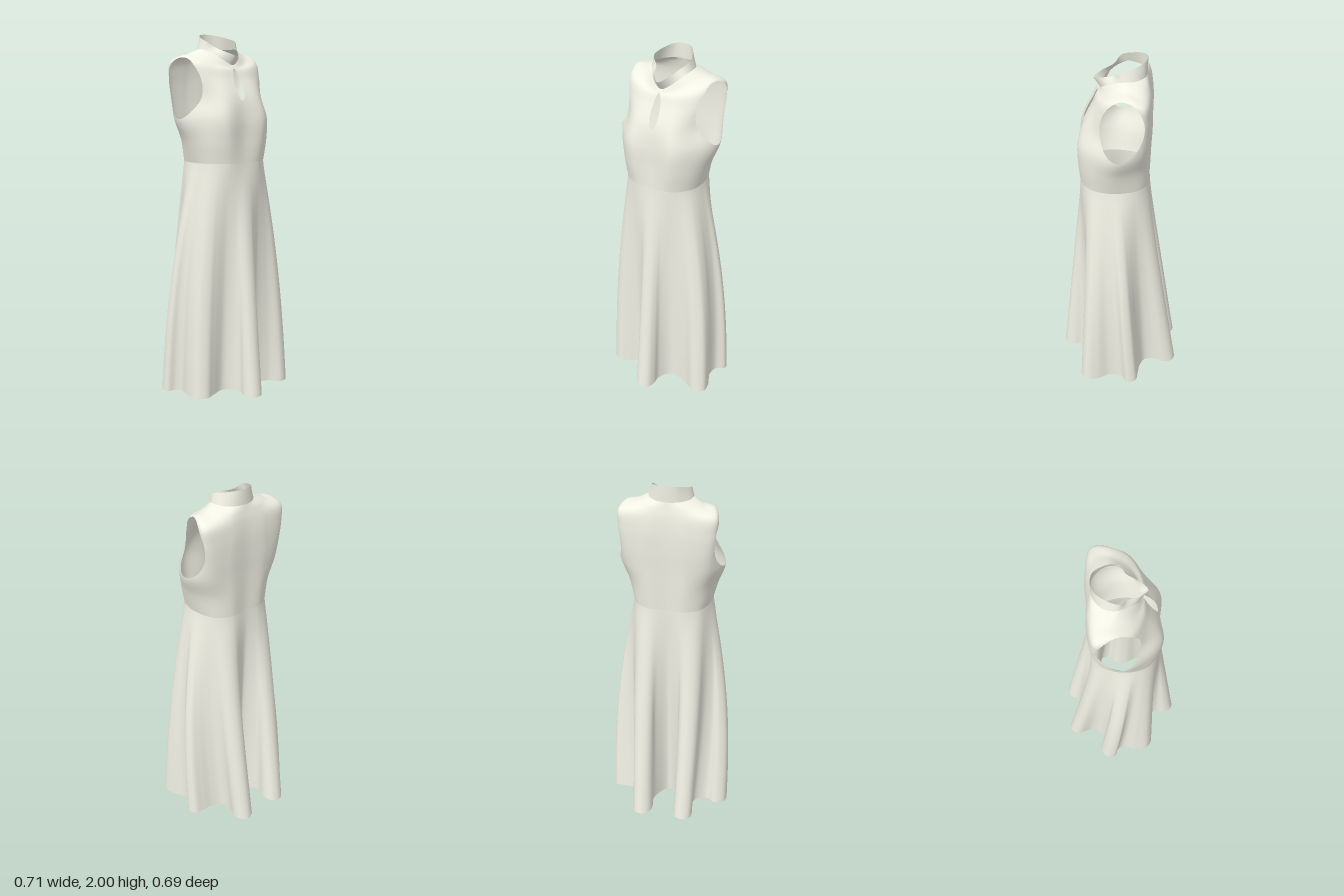
import * as THREE from 'three';
import { mergeVertices } from 'three/addons/utils/BufferGeometryUtils.js';

const V = (x, y, z) => new THREE.Vector3(x, y, z);
const fabric = new THREE.MeshStandardMaterial({ color: 0xf0f0e4, side: THREE.DoubleSide });

// Closed loop from a half section (front centre to back centre), mirrored in x
function loop(half) {
  const left = half.map(p => V(...p));
  const right = half.slice(1, -1).reverse().map(([x, y, z]) => V(-x, y, z));
  return new THREE.CatmullRomCurve3([...left, ...right], true);
}
const level = (y, half) => loop(half.map(([x, z]) => [x, y, z]));

// Skin between rows of points, bottom to top, keeping only where keep(p) > 0
function skin(name, rows, keep = () => 1) {
  const out = [];
  const addTri = (...tri) => {
    const poly = [];
    tri.forEach((p, i) => {
      const q = tri[(i + 1) % 3], a = keep(p), b = keep(q);
      if (a > 0) poly.push(p);
      if (a > 0 !== b > 0) poly.push(p.clone().lerp(q, a / (a - b)));
    });
    for (let i = 1; i + 1 < poly.length; i++)
      for (const p of [poly[0], poly[i], poly[i + 1]]) out.push(p.x, p.y, p.z);
  };
  const n = rows[0].length;
  for (let j = 0; j + 1 < rows.length; j++)
    for (let i = 0; i < n; i++) {
      const k = (i + 1) % n;
      const a = rows[j][i], b = rows[j][k], c = rows[j + 1][k], d = rows[j + 1][i];
      addTri(a, b, c);
      addTri(a, c, d);
    }
  let g = new THREE.BufferGeometry();
  g.setAttribute('position', new THREE.Float32BufferAttribute(out, 3));
  g = mergeVertices(g, 1e-5);
  g.computeVertexNormals();
  const mesh = new THREE.Mesh(g, fabric);
  mesh.name = name;
  return mesh;
}

// Smooth rows running through a stack of loops
function loft(loops, columns, steps) {
  const rows = Array.from({ length: steps + 1 }, () => []);
  for (let i = 0; i < columns; i++) {
    const column = new THREE.CatmullRomCurve3(loops.map(l => l.getPoint(i / columns)));
    rows.forEach((row, j) => row.push(column.getPoint(j / steps)));
  }
  return rows;
}

// Body sections from the waist to the neck
const waist = level(1.3, [[0, .21], [.11, .203], [.192, .135], [.217, .02], [.18, -.11], [.1, -.16], [0, -.155]]);
const neck = loop([[0, 1.83, .1], [.055, 1.86, .08], [.095, 1.895, .03], [.118, 1.915, -.02],
  [.108, 1.915, -.08], [.06, 1.915, -.13], [0, 1.915, -.145]]);
const body = [
  waist,
  level(1.42, [[0, .207], [.12, .214], [.207, .145], [.25, .02], [.2, -.11], [.11, -.165], [0, -.16]]),
  level(1.54, [[0, .205], [.13, .213], [.222, .13], [.29, 0], [.23, -.13], [.12, -.17], [0, -.165]]),
  level(1.65, [[0, .187], [.12, .182], [.212, .09], [.272, 0], [.245, -.14], [.13, -.175], [0, -.17]]),
  level(1.76, [[0, .137], [.11, .132], [.212, .075], [.26, -.03], [.258, -.142], [.12, -.175], [0, -.17]]),
  loop([[0, 1.8, .12], [.1, 1.81, .11], [.208, 1.84, .05], [.246, 1.87, -.05],
    [.256, 1.845, -.135], [.12, 1.84, -.165], [0, 1.84, -.163]]),
  loop([[0, 1.815, .11], [.08, 1.83, .09], [.145, 1.87, .03], [.175, 1.89, -.04],
    [.175, 1.886, -.1], [.1, 1.885, -.147], [0, 1.88, -.154]]),
  neck,
];

// Armholes on both sides and the keyhole below the collar
function openings(p) {
  const dy = p.y - 1.705;
  const arm = Math.hypot((p.z + 0.022 + 0.09 * dy) / 0.115, dy / 0.166) - 1;
  const halfWidth = 0.024 - 0.06 * (p.y - 1.725);
  const keyhole = Math.hypot((p.x + 0.003) / halfWidth, (p.y - 1.725) / 0.087) - 1;
  return Math.min(Math.max(arm, (0.12 - Math.abs(p.x)) * 20), Math.max(keyhole, -p.z * 20));
}

// Standing collar, high at the back and open towards the front
const collarTop = loop([[0, 1.88, .135], [.04, 1.9, .095], [.068, 1.925, .032], [.104, 1.958, -.005],
  [.094, 1.977, -.065], [.05, 1.996, -.13], [0, 2, -.145]]);

// Hem with seven deep rounded folds, from the front centre round by +x, raised a little in the valleys
const hem = new THREE.CatmullRomCurve3([
  [-.01, .343], [.03, .328], [.048, .285], [.05, .23], [.1, .17], [.2, .18], [.28, .22], [.335, .19],
  [.33, .12], [.3, .05], [.305, -.02], [.35, -.06], [.335, -.11], [.28, -.122], [.22, -.132], [.17, -.16],
  [.157, -.21], [.172, -.285], [.155, -.328], [.115, -.345], [.075, -.325], [.058, -.285], [.068, -.2],
  [0, -.105], [-.08, -.19], [-.072, -.27], [-.09, -.318], [-.13, -.335], [-.17, -.318], [-.184, -.28],
  [-.165, -.2], [-.18, -.15], [-.24, -.115], [-.29, -.14], [-.345, -.11], [-.35, -.05], [-.31, -.03],
  [-.29, 0], [-.305, .08], [-.3, .16], [-.25, .193], [-.2, .18], [-.12, .16], [-.075, .19],
  [-.053, .235], [-.061, .29], [-.045, .328],
].map(([x, z]) => V(x, 0.1 * Math.max(0, 0.36 - Math.hypot(x, z)), z)), true);

// Skirt leaves the waist softly, fuller at the side hips, and falls into the folds
function skirtRows(columns, steps) {
  hem.arcLengthDivisions = 1000;
  const low = hem.getSpacedPoints(columns).slice(0, columns);
  const high = waist.getSpacedPoints(columns).slice(0, columns);
  return Array.from({ length: steps + 1 }, (_, j) => {
    const s = 1 - j / steps;
    const flare = 1.02 * s * s / (s + 0.02);
    const hip = 0.15 * Math.sin(Math.PI * flare ** 0.8);
    return high.map((p, i) => {
      const q = p.clone().lerp(low[i], flare);
      q.x *= 1 + hip * (p.x / 0.217) ** 2;
      q.y = THREE.MathUtils.lerp(p.y, low[i].y, s);
      return q;
    });
  });
}

export function createModel() {
  const dress = new THREE.Group();
  dress.name = 'dress';
  dress.add(
    skin('bodice', loft(body, 200, 84), openings),
    skin('collar', loft([neck, collarTop], 200, 8)),
    skin('skirt', skirtRows(400, 48)),
  );
  return dress;
}
